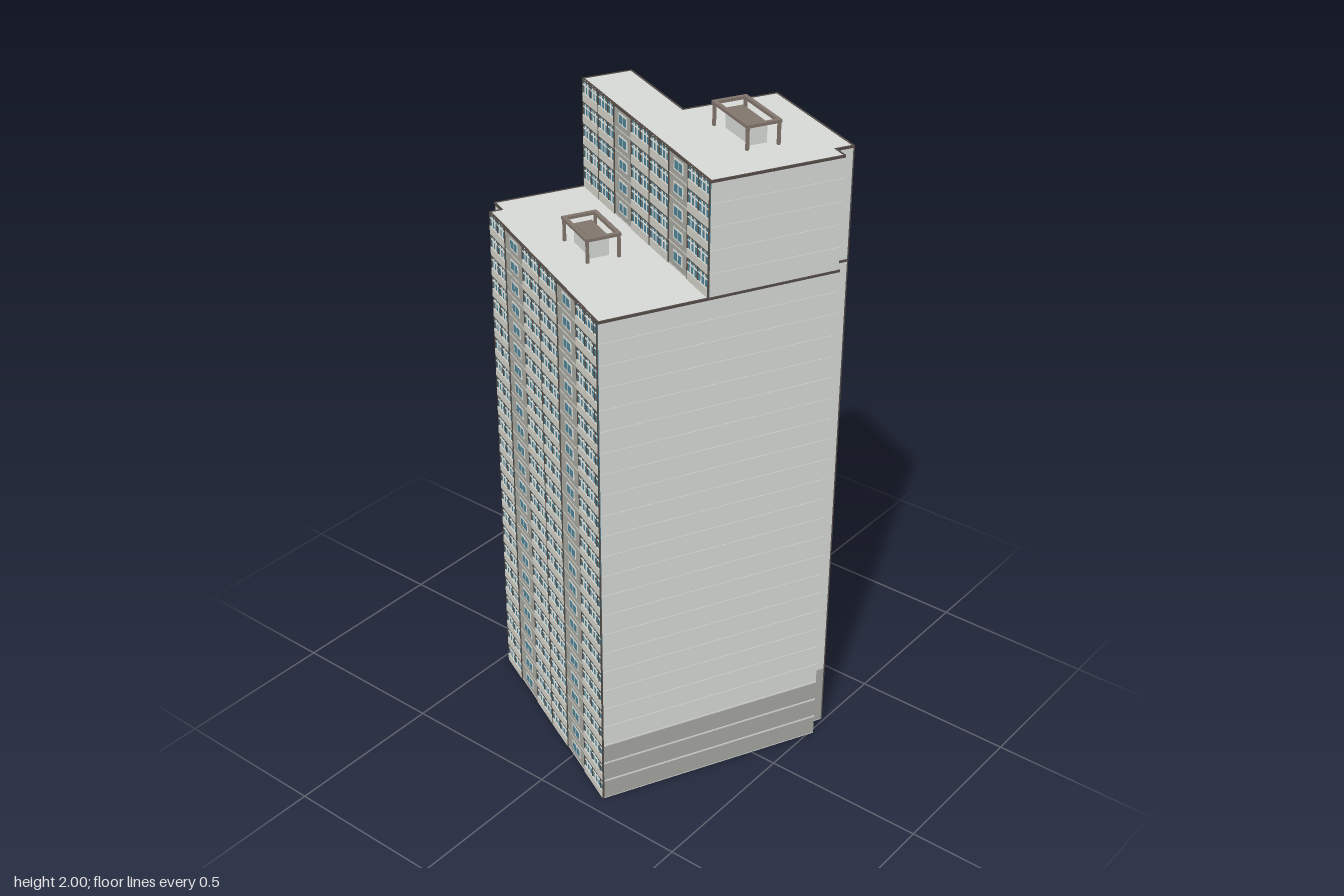
import * as THREE from 'three';
import { mergeGeometries } from 'three/addons/utils/BufferGeometryUtils.js';

const mat = (name, color) => {
  const m = new THREE.MeshStandardMaterial({ color });
  m.name = name;
  return m;
};
const M = {
  wall: mat('lightConcrete', 0xd6d9d4),
  base: mat('plinthGrey', 0xa5a5a0),
  panel: mat('panelGrey', 0xaaa9a3),
  spandrel: mat('spandrelLight', 0xd3d2c9),
  glass: mat('blueGlass', 0x4f8599),
  frame: mat('whiteFrame', 0xe4e4de),
  trim: mat('darkTrim', 0x544c46),
  brown: mat('roofBrown', 0x82766d),
};

const FLOOR = 0.0665, LOW = 24, HIGH = 29;
const Y_LOW = FLOOR * LOW, Y_HIGH = FLOOR * HIGH, Y_BASE = FLOOR * 3;
const SPLIT = -0.007, SLAB = 0.003;

// Plan corners [x, z] of the low front wing and tall rear wing
const FRONT = [[-0.433, SPLIT], [-0.433, 0.277], [-0.379, 0.277], [-0.379, 0.313], [0.375, 0.313], [0.375, SPLIT]];
const REAR = [[-0.433, SPLIT], [0.375, SPLIT], [0.375, -0.398], [0.327, -0.398], [0.327, -0.452],
  [-0.095, -0.452], [-0.095, -0.158], [-0.433, -0.158]];

// Collects boxes by part and material and merges each set into one named mesh
class Kit {
  constructor(name) {
    this.group = new THREE.Group();
    this.group.name = name;
    this.sets = {};
  }
  box(key, part, w, h, d, x, y, z, ry = 0) {
    const g = new THREE.BoxGeometry(w, h, d).rotateY(ry).translate(x, y, z);
    const id = part + '|' + key;
    (this.sets[id] ??= []).push(g);
  }
  build() {
    for (const [id, list] of Object.entries(this.sets)) {
      const [part, key] = id.split('|');
      const mesh = new THREE.Mesh(mergeGeometries(list), M[key]);
      mesh.name = part;
      this.group.add(mesh);
    }
    return this.group;
  }
}

function wing(name, pts, y0, y1, material) {
  const shape = new THREE.Shape(pts.map(([x, z]) => new THREE.Vector2(x, -z)));
  const geo = new THREE.ExtrudeGeometry(shape, { depth: y1 - y0, bevelEnabled: false });
  geo.rotateX(-Math.PI / 2).translate(0, y0, 0);
  const mesh = new THREE.Mesh(geo, material);
  mesh.name = name;
  return mesh;
}

// Thin dark coping following every edge of a plan
function coping(name, pts, y) {
  const kit = new Kit(name);
  pts.forEach(([x, z], i) => {
    const [x2, z2] = pts[(i + 1) % pts.length];
    const len = Math.hypot(x2 - x, z2 - z);
    kit.box('trim', 'coping', len + 0.004, 0.007, 0.005, (x + x2) / 2, y, (z + z2) / 2, -Math.atan2(z2 - z, x2 - x));
  });
  return kit.build();
}

// Facade: bays are [kind, start, end] along the width; g = glazed balconies, p = panel with window
function facade(name, width, f0, f1, bays, x, z, ry) {
  const kit = new Kit(name);
  const y0 = f0 * FLOOR, h = (f1 - f0) * FLOOR, ym = y0 + h / 2;
  for (const [kind, a, b] of bays) {
    const w = b - a, c = (a + b) / 2 - width / 2;
    if (kind === 'g') {
      kit.box('glass', 'balconyGlass', w, h, 0.002, c, ym, 0.001);
      const n = Math.max(3, Math.round(w / 0.02));
      for (let i = 0; i <= n; i++) {
        const end = i === 0 || i === n, mw = end ? 0.004 : 0.0032;
        const mx = c - w / 2 + mw / 2 + ((w - mw) * i) / n;
        kit.box(!end && i % 3 !== 0 ? 'frame' : 'trim', 'mullions', mw, h, 0.0045, mx, ym, 0.00225);
      }
    } else {
      kit.box('panel', 'wallPanel', w, h, 0.002, c, ym, 0.001);
    }
    for (let f = f0; f < f1; f++) {
      const y = f * FLOOR;
      if (kind === 'g') {
        kit.box('spandrel', 'balconyFronts', w - 0.008, 0.025, 0.006, c, y + 0.0135, 0.003);
        kit.box('frame', 'transoms', w - 0.008, 0.003, 0.004, c, y + 0.051, 0.002);
        kit.box('trim', 'floorLines', w - 0.008, 0.003, 0.005, c, y + 0.0645, 0.0025);
      } else {
        kit.box('frame', 'windowFrames', 0.056, 0.034, 0.003, c, y + 0.036, 0.0015);
        for (const s of [-1, 1]) kit.box('glass', 'windowPanes', 0.019, 0.024, 0.004, c + s * 0.0125, y + 0.036, 0.002);
        kit.box('spandrel', 'panelJoints', w, 0.003, 0.003, c, y + 0.0015, 0.0015);
      }
    }
  }
  const g = kit.build();
  g.position.set(x, 0, z);
  g.rotation.y = ry;
  return g;
}

// Rooftop plant room under an open frame on four posts
function roofHouse(name, x, z, y, w, d, iw, id, h) {
  const kit = new Kit(name);
  const t = 0.012, top = y + h;
  kit.box('wall', 'plantRoom', iw, h * 0.74, id, x, y + h * 0.37, z);
  kit.box('brown', 'plantRoomRoof', iw, 0.004, id, x, y + h * 0.74 + 0.002, z);
  for (const s of [-1, 1]) {
    kit.box('brown', 'canopyFrame', w, 0.009, t, x, top - 0.0045, z + s * (d - t) / 2);
    kit.box('brown', 'canopyFrame', t, 0.009, d - 2 * t, x + s * (w - t) / 2, top - 0.0045, z);
    for (const q of [-1, 1])
      kit.box('brown', 'posts', 0.008, h - 0.009, 0.008, x + s * (w - t) / 2, y + (h - 0.009) / 2, z + q * (d - t) / 2);
  }
  return kit.build();
}

export function createModel() {
  const model = new THREE.Group();
  model.name = 'apartmentTower';
  const tower = new THREE.Group();
  tower.name = 'tower';
  tower.rotation.y = -0.451;
  model.add(tower);

  // Main volumes: light ground slab, darker plinth, light walls
  tower.add(
    wing('frontSlab', FRONT, 0, SLAB, M.wall),
    wing('rearSlab', REAR, 0, SLAB, M.wall),
    wing('frontPlinth', FRONT, SLAB, Y_BASE, M.base),
    wing('rearPlinth', REAR, SLAB, Y_BASE, M.base),
    wing('frontWing', FRONT, Y_BASE, Y_LOW, M.wall),
    wing('rearWing', REAR, Y_BASE, Y_HIGH, M.wall),
    coping('frontCoping', FRONT, Y_LOW - 0.002),
    coping('rearBand', REAR, Y_LOW - 0.002),
    coping('rearCoping', REAR, Y_HIGH - 0.002),
  );

  // Light floor joints on the blank end wall
  const joints = new Kit('endWallJoints');
  for (let f = 1; f < HIGH; f++) {
    if (f === LOW) continue;
    const z1 = f < LOW ? 0.313 : SPLIT;
    joints.box('wall', 'joint', 0.002, 0.005, z1 + 0.398, 0.3755, f * FLOOR, (z1 - 0.398) / 2);
  }
  tower.add(joints.build());

  // Window facades
  tower.add(
    facade('frontFacade', 0.754, 0, LOW, [['g', 0, 0.117], ['p', 0.117, 0.245], ['g', 0.245, 0.368],
      ['g', 0.368, 0.49], ['p', 0.49, 0.615], ['g', 0.615, 0.754]], -0.002, 0.313, 0),
    facade('upperFrontFacade', 0.808, LOW, HIGH, [['g', 0, 0.11], ['g', 0.11, 0.219], ['p', 0.219, 0.33],
      ['g', 0.33, 0.45], ['g', 0.45, 0.569], ['p', 0.569, 0.68], ['g', 0.68, 0.808]], -0.029, SPLIT, 0),
    facade('rearFacade', 0.422, 0, HIGH, [['g', 0, 0.13], ['p', 0.13, 0.25], ['g', 0.25, 0.422]],
      0.116, -0.452, Math.PI),
    facade('rearRecessFacade', 0.338, 0, HIGH, [['g', 0, 0.11], ['p', 0.11, 0.225], ['g', 0.225, 0.338]],
      -0.264, -0.158, Math.PI),
    facade('recessSideFacade', 0.294, 0, HIGH, [['g', 0, 0.09], ['p', 0.09, 0.2], ['g', 0.2, 0.294]],
      -0.095, -0.305, -Math.PI / 2),
    facade('sideFacadeRear', 0.151, 0, HIGH, [['g', 0, 0.06], ['p', 0.06, 0.151]],
      -0.433, -0.0825, -Math.PI / 2),
    facade('sideFacadeFront', 0.284, 0, LOW, [['g', 0, 0.1], ['p', 0.1, 0.19], ['g', 0.19, 0.284]],
      -0.433, 0.135, -Math.PI / 2),
  );

  // Rooftop structures
  tower.add(
    roofHouse('rearRoofHouse', 0.14, -0.23, Y_HIGH, 0.203, 0.106, 0.139, 0.052, 2 - Y_HIGH),
    roofHouse('frontRoofHouse', -0.033, 0.15, Y_LOW, 0.17, 0.106, 0.115, 0.054, 0.073),
  );
  return model;
}
